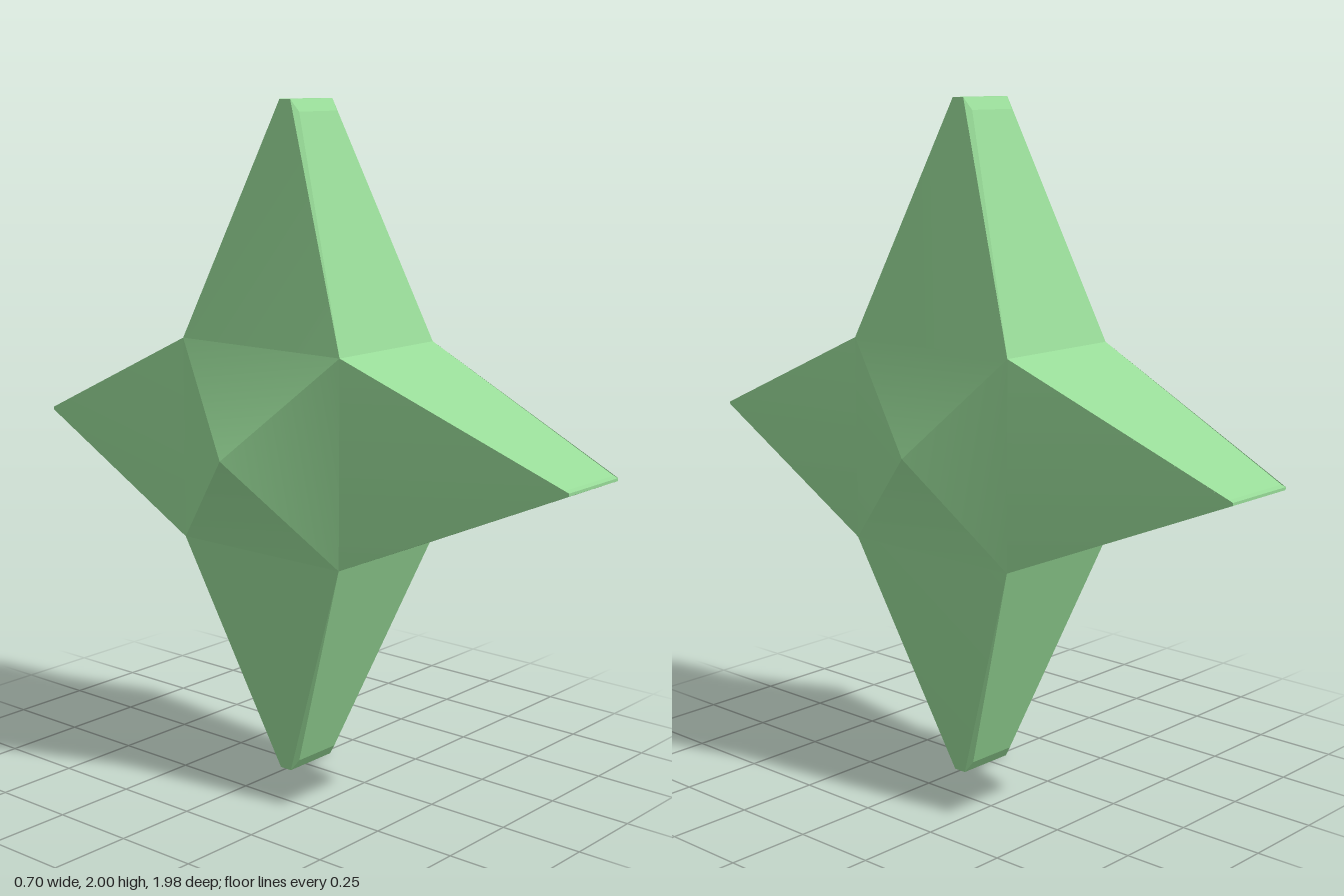
import * as THREE from 'three';
import { toCreasedNormals } from 'three/addons/utils/BufferGeometryUtils.js';

// Valley corners between the arms as [z, y], in order top, front, bottom, back
const valleys = [[-0.3, 1.305], [0.3, 1.305], [0.3, 0.7], [-0.3, 0.7]];

// Arm ends as [z, y], each a small blunt tip with two shoulders
const tips = [
  [[-0.045, 1.965], [-0.02, 2], [0.02, 2], [0.045, 1.965]],
  [[0.975, 1.018], [0.99, 1.014], [0.99, 1.006], [0.975, 1.0]],
  [[0.045, 0.035], [0.02, 0], [-0.02, 0], [-0.045, 0.035]],
  [[-0.975, 0.986], [-0.99, 0.992], [-0.99, 1.0], [-0.975, 1.004]],
];

// Half-widths of each face: apex, valley corner, upright tips, level tips
const left = { apex: 0.35, valley: 0.24, upright: [0.105, 0.115], level: [0.152, 0.15] };
const right = { apex: -0.35, valley: -0.185, upright: [-0.06, -0.07], level: [-0.092, -0.09] };

// Corners of one arm on one face, from valley to valley
function armPoints(i, face) {
  const [shoulder, end] = i % 2 ? face.level : face.upright;
  const xs = [shoulder, end, end, shoulder];
  const at = (x, [z, y]) => [x, y, z];
  return [
    at(face.valley, valleys[i]),
    ...tips[i].map((p, k) => at(xs[k], p)),
    at(face.valley, valleys[(i + 1) % 4]),
  ];
}

function fromTriangles(triangles, crease) {
  const geometry = new THREE.BufferGeometry();
  geometry.setAttribute('position', new THREE.Float32BufferAttribute(triangles.flat(2), 3));
  geometry.computeVertexNormals();
  return toCreasedNormals(geometry, crease);
}

// Pyramid centre and four tapering arms of one broad face
function broadFace(face) {
  const triangles = [];
  for (let i = 0; i < 4; i++) {
    const [a, s1, t1, t2, s2, b] = armPoints(i, face);
    triangles.push([[face.apex, 1, 0], a, b], [a, s1, t1], [a, t1, t2], [a, t2, b], [t2, s2, b]);
  }
  if (face.apex < 0) triangles.forEach((t) => t.reverse());
  return fromTriangles(triangles, 0.42);
}

// Band around the outline joining both broad faces
function edgeBand() {
  const triangles = [];
  for (let i = 0; i < 4; i++) {
    const p = armPoints(i, left);
    const q = armPoints(i, right);
    for (let k = 0; k < p.length - 1; k++) {
      triangles.push([p[k], q[k], q[k + 1]], [p[k], q[k + 1], p[k + 1]]);
    }
  }
  return fromTriangles(triangles, 0.1);
}

export function createModel() {
  const green = new THREE.MeshStandardMaterial({ color: 0x98db98 });
  green.name = 'light green';
  const star = new THREE.Group();
  star.name = 'fourPointStar';
  const add = (name, geometry) => {
    const mesh = new THREE.Mesh(geometry, green);
    mesh.name = name;
    star.add(mesh);
  };
  add('leftFace', broadFace(left));
  add('rightFace', broadFace(right));
  add('outerEdge', edgeBand());
  return star;
}
